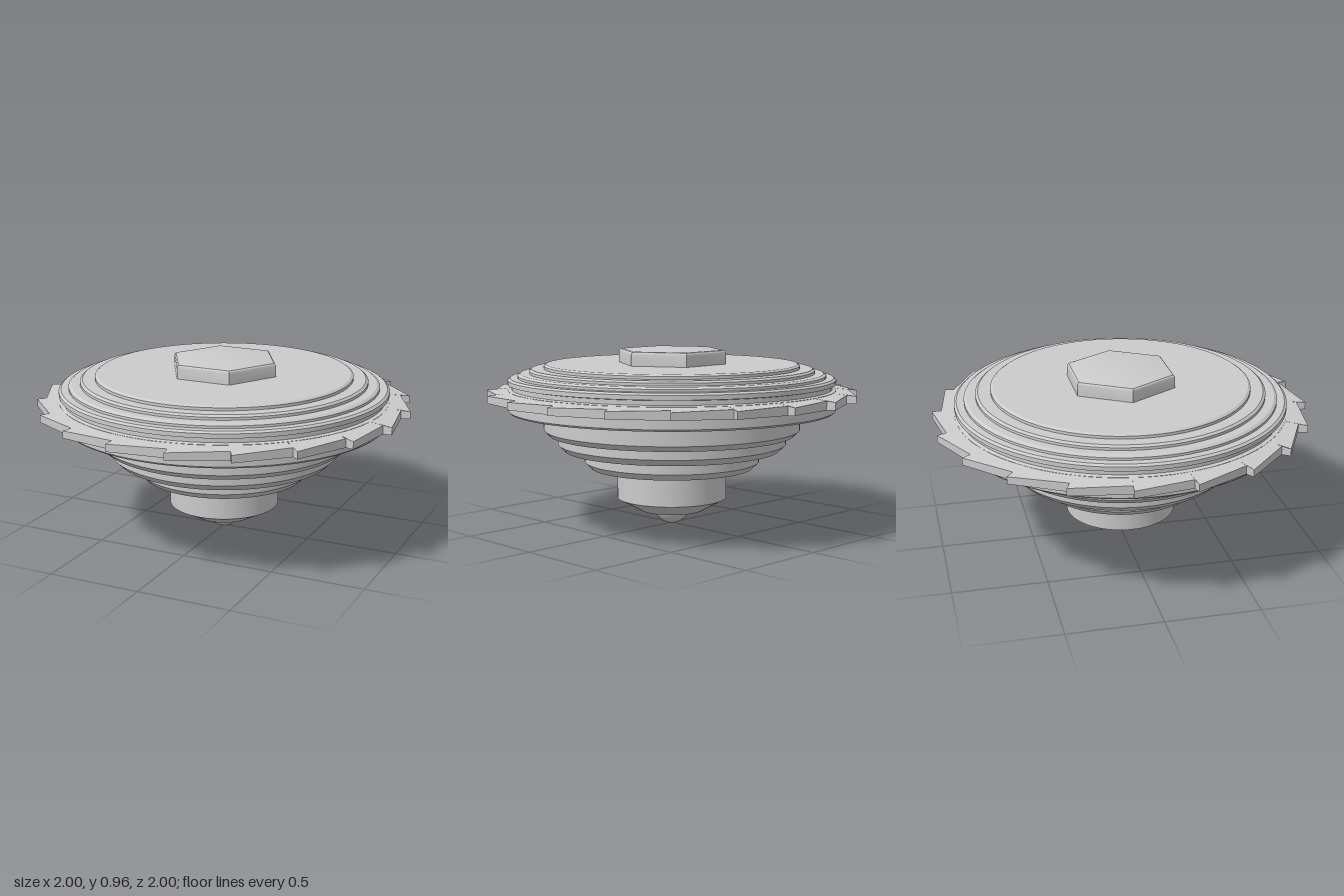
import * as THREE from 'three';
import { toCreasedNormals } from 'three/addons/utils/BufferGeometryUtils.js';

const material = new THREE.MeshStandardMaterial({ color: 0xcccccc });

export function createModel() {
  const group = new THREE.Group();

  const add = (name, geometry) => {
    const mesh = new THREE.Mesh(geometry, material);
    mesh.name = name;
    group.add(mesh);
  };

  // Turned part from [radius, height] pairs, listed from bottom to top
  const turned = (name, profile, sides = 96) => {
    const points = profile.map(([r, y]) => new THREE.Vector2(r, y));
    const lathe = new THREE.LatheGeometry(points, sides, Math.PI / 2);
    add(name, toCreasedNormals(lathe, 0.4));
  };

  // Ball the top spins on
  const ball = new THREE.SphereGeometry(0.1, 32, 24);
  ball.translate(0, 0.1, 0);
  add('tipBall', ball);

  // Lower body: stem and stepped tiers with bevelled lower edges
  turned('stem', [[0, 0.075], [0.17, 0.075], [0.3, 0.145], [0.3, 0.315]]);
  turned('lowerTier', [[0, 0.315], [0.445, 0.315], [0.48, 0.35], [0.48, 0.415]]);
  turned('middleTier', [[0, 0.415], [0.59, 0.415], [0.625, 0.45], [0.625, 0.5]]);
  turned('upperTier', [[0, 0.5], [0.67, 0.5], [0.7, 0.53], [0.7, 0.63]]);
  turned('baseDisc', [[0, 0.63], [0.88, 0.63], [0.89, 0.64], [0.89, 0.7]]);

  add('toothedRing', sawRing(20));

  // Stepped upper wheel with a shallow groove above the ring
  turned('upperWheel', [
    [0.89, 0.735], [0.89, 0.75], [0.87, 0.755], [0.87, 0.778],
    [0.89, 0.782], [0.89, 0.805], [0.877, 0.815], [0.837, 0.815],
    [0.837, 0.828], [0.822, 0.838], [0.775, 0.838],
    [0.775, 0.852], [0.762, 0.862], [0.695, 0.862],
    [0.695, 0.877], [0.682, 0.886], [0, 0.886],
  ]);

  // Hexagonal cap with a softened top edge
  turned('hexCap', [
    [0.302, 0.88], [0.302, 0.942], [0.299, 0.952], [0.292, 0.959], [0.28, 0.962], [0, 0.962],
  ], 6);

  return group;
}

// Wedge-shaped ring whose rim ramps outward and drops back at each tooth
function sawRing(teeth) {
  const inner = 0.86, notch = 0.962, tip = 1.0125;
  const step = (Math.PI * 2) / teeth;
  const positions = [];
  const at = (r, a, y) => [r * Math.cos(a), y, r * Math.sin(a)];
  const quad = (a, b, c, d) => positions.push(...a, ...b, ...c, ...a, ...c, ...d);

  for (let i = 0; i < teeth; i++) {
    const a = (i - 0.5) * step, b = a + step;
    const innerTopA = at(inner, a, 0.752), innerTopB = at(inner, b, 0.752);
    const innerLowA = at(inner, a, 0.685), innerLowB = at(inner, b, 0.685);
    const notchTop = at(notch, a, 0.742), notchLow = at(notch, a, 0.695);
    const tipTop = at(tip, b, 0.738), tipLow = at(tip, b, 0.699);
    const nextTop = at(notch, b, 0.742), nextLow = at(notch, b, 0.695);
    quad(innerTopA, innerTopB, tipTop, notchTop);
    quad(innerLowA, notchLow, tipLow, innerLowB);
    quad(notchTop, tipTop, tipLow, notchLow);
    quad(tipTop, nextTop, nextLow, tipLow);
  }
  const geometry = new THREE.BufferGeometry();
  geometry.setAttribute('position', new THREE.Float32BufferAttribute(positions, 3));
  geometry.computeVertexNormals();
  return geometry;
}
